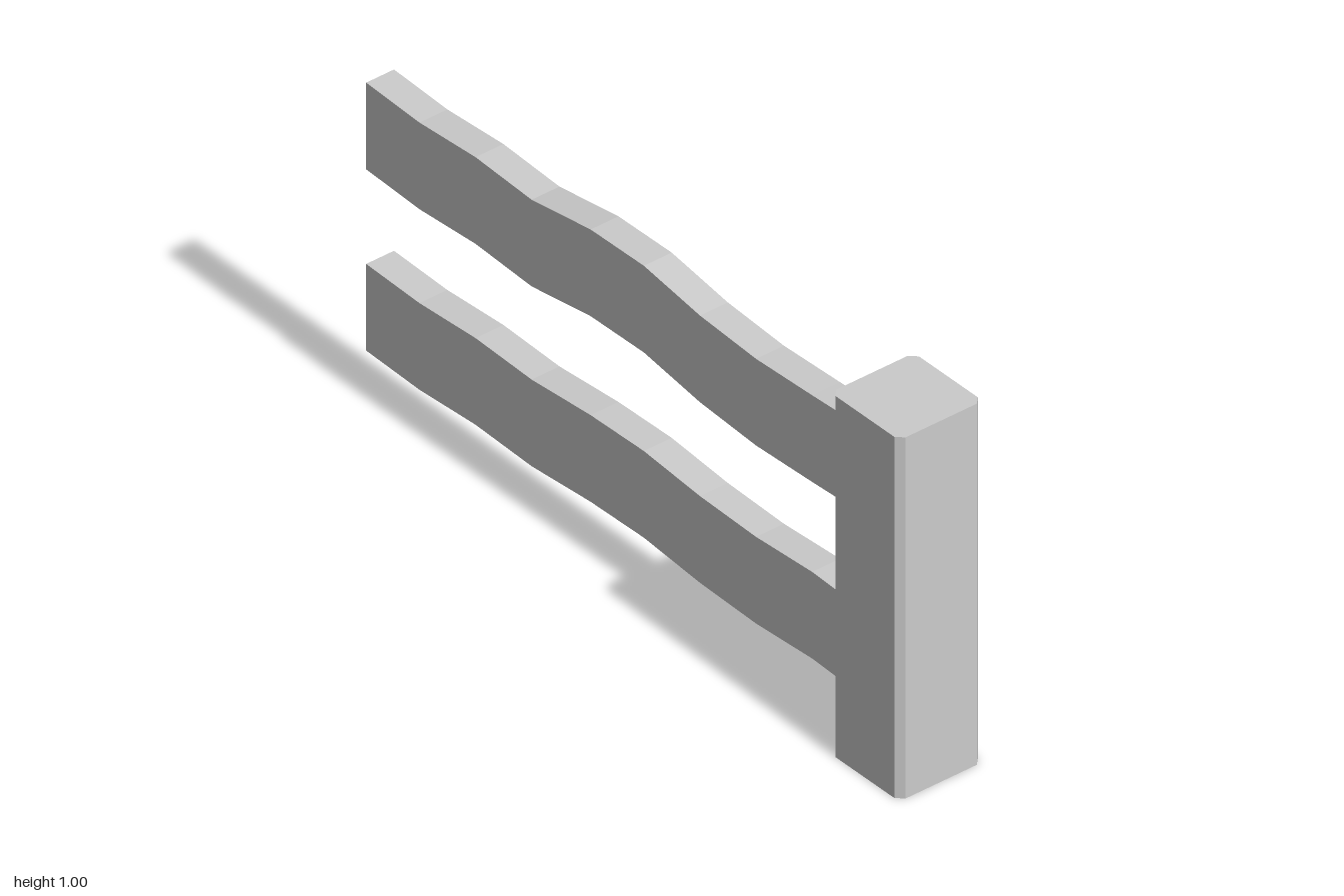
import * as THREE from 'three';

const material = new THREE.MeshStandardMaterial({ color: 0xcccccc, flatShading: true, side: THREE.DoubleSide });

// Joins successive rings of [x, y, z] points with flat walls; optionally closes the last ring.
function loft(name, rings, capEnd = false) {
  const pos = [];
  const tri = (...points) => points.forEach((p) => pos.push(...p));
  for (let i = 0; i < rings.length - 1; i++) {
    const r = rings[i], s = rings[i + 1], n = r.length;
    for (let k = 0; k < n; k++) {
      const j = (k + 1) % n;
      tri(r[k], s[k], s[j]);
      tri(r[k], s[j], r[j]);
    }
  }
  if (capEnd) {
    const e = rings[rings.length - 1];
    for (let k = 1; k < e.length - 1; k++) tri(e[0], e[k + 1], e[k]);
  }
  const geometry = new THREE.BufferGeometry();
  geometry.setAttribute('position', new THREE.Float32BufferAttribute(pos, 3));
  geometry.computeVertexNormals();
  const mesh = new THREE.Mesh(geometry, material);
  mesh.name = name;
  return mesh;
}

// Wavy plank, open at its ends; tops holds the upper edge height at each station.
const stations = [-1, -0.81, -0.61, -0.41, -0.2, -0.01, 0.19, 0.39, 0.59, 0.76];
function rail(name, tops) {
  const h = 0.24, d = 0.041;
  return loft(name, stations.map((x, i) => {
    const t = tops[i];
    return [[x, t, d], [x, t, -d], [x, t - h, -d], [x, t - h, d]];
  }));
}

// Square post with chamfered vertical edges, open underneath.
function post() {
  const cx = 0.877, w = 0.123, c = 0.018, a = w - c;
  const outline = [[a, w], [-a, w], [-w, a], [-w, -a], [-a, -w], [a, -w], [w, -a], [w, a]];
  return loft('post', [0, 1].map((y) => outline.map(([x, z]) => [cx + x, y, z])), true);
}

export function createModel() {
  const fence = new THREE.Group();
  fence.name = 'fence';
  fence.add(
    post(),
    rail('upperRail', [0.875, 0.867, 0.879, 0.869, 0.9, 0.902, 0.872, 0.86, 0.867, 0.875]),
    rail('lowerRail', [0.373, 0.367, 0.378, 0.371, 0.386, 0.389, 0.372, 0.367, 0.378, 0.371]),
  );
  return fence;
}
